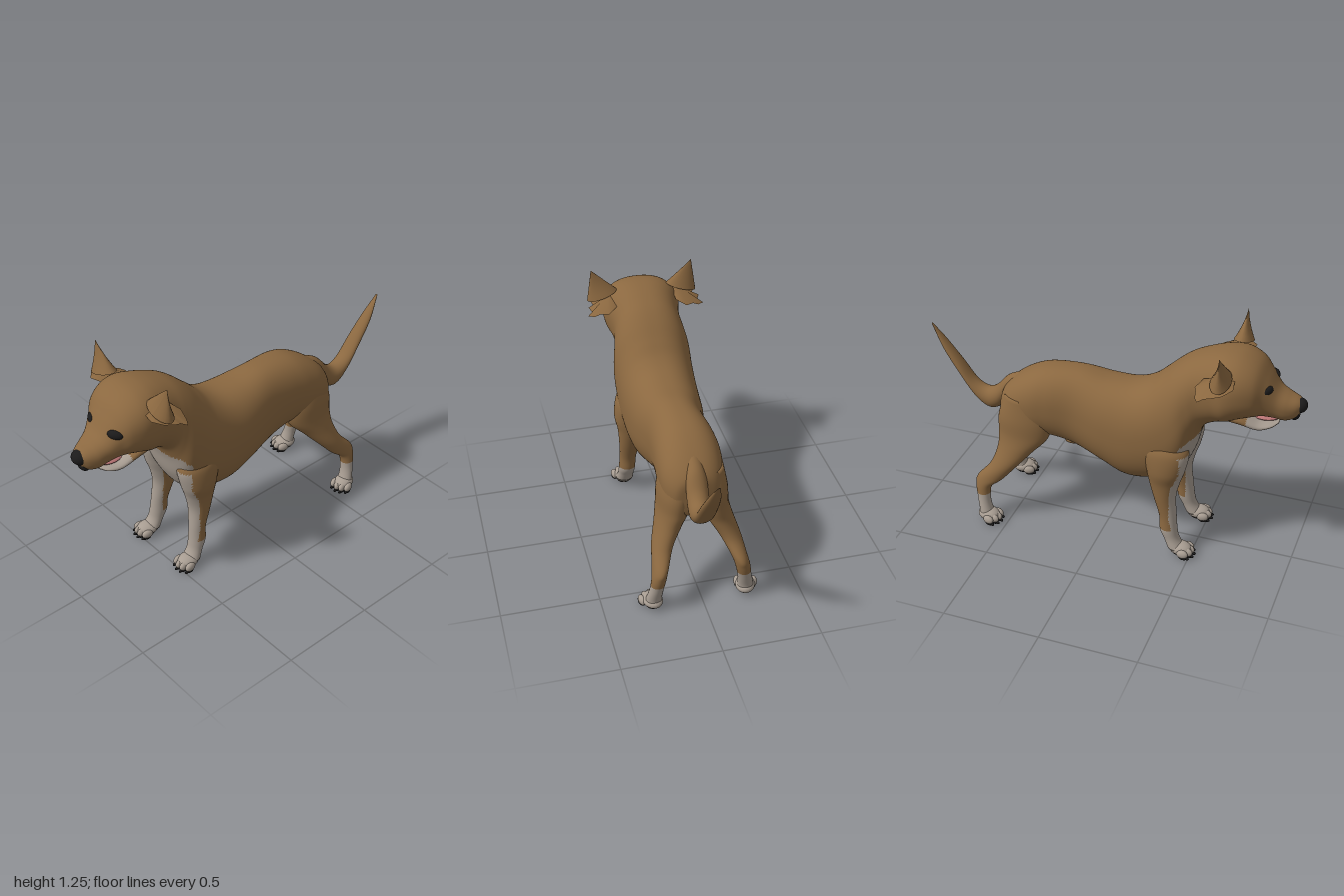
import * as THREE from 'three';

const mat = (name, color) => {
  const m = new THREE.MeshStandardMaterial({ color });
  m.name = name;
  return m;
};

export function createModel() {
  const dog = new THREE.Group();
  dog.name = 'dog';
  const coat = mat('brown coat', 0x8b6840);
  coat.side = THREE.DoubleSide;
  const white = mat('pale markings', 0xa89d92);
  const dark = mat('dark skin', 0x1c1b1b);
  const pink = mat('pink tongue', 0xb87474);

  const add = (name, geometry, material, parent = dog) => {
    const m = new THREE.Mesh(geometry, material);
    m.name = name;
    parent.add(m);
    return m;
  };

  const blob = (name, material, [x, y, z], [rx, ry, rz], parent = dog) => {
    const m = add(name, new THREE.SphereGeometry(1, 20, 14), material, parent);
    m.position.set(x, y, z);
    m.scale.set(rx, ry, rz);
    return m;
  };

  // Smooth skin through sections [topZ, topY, bottomZ, bottomY, halfWidth, centreX].
  // isWhite decides which faces take the pale material.
  const loft = (name, sections, rings, sides, power, isWhite = () => false) => {
    const a = new THREE.CatmullRomCurve3(sections.map(s => new THREE.Vector3(s[0], s[1], s[4])), false, 'catmullrom', 0.5);
    const b = new THREE.CatmullRomCurve3(sections.map(s => new THREE.Vector3(s[2], s[3], s[5])), false, 'catmullrom', 0.5);
    const bend = v => Math.sign(v) * Math.abs(v) ** power;
    const pos = [];
    for (let i = -1; i <= rings + 1; i++) {
      const t = Math.min(Math.max(i / rings, 0), 1);
      const r = i < 0 || i > rings ? 0.001 : 1;
      const p = a.getPoint(t), q = b.getPoint(t);
      for (let j = 0; j < sides; j++) {
        const ang = (j / sides) * Math.PI * 2;
        const c = bend(Math.cos(ang)) * r / 2, s = bend(Math.sin(ang)) * r;
        pos.push(q.z + s * p.z, (p.y + q.y) / 2 + c * (p.y - q.y), (p.x + q.x) / 2 + c * (p.x - q.x));
      }
    }
    const lists = [[], []];
    const face = (...f) => {
      const mean = k => (pos[f[0] * 3 + k] + pos[f[1] * 3 + k] + pos[f[2] * 3 + k]) / 3;
      lists[isWhite(mean(0), mean(1), mean(2)) ? 1 : 0].push(...f);
    };
    for (let i = 0; i < rings + 2; i++) {
      for (let j = 0; j < sides; j++) {
        const k = (j + 1) % sides, u = i * sides, v = u + sides;
        face(u + j, v + j, u + k);
        face(v + j, v + k, u + k);
      }
    }
    const g = new THREE.BufferGeometry();
    g.setAttribute('position', new THREE.Float32BufferAttribute(pos, 3));
    g.setIndex([...lists[0], ...lists[1]]);
    g.addGroup(0, lists[0].length, 0);
    g.addGroup(lists[0].length, lists[1].length, 1);
    g.computeVertexNormals();
    return add(name, g, [coat, white]);
  };

  // Torso, neck, skull and muzzle, with the pale chest patch
  loft('bodyAndHead', [
    [-0.585, 0.66, -0.585, 0.54, 0.05, 0.02], [-0.57, 0.73, -0.57, 0.50, 0.11, 0.02],
    [-0.50, 0.80, -0.51, 0.48, 0.15, 0.02], [-0.40, 0.86, -0.40, 0.48, 0.163, 0.015],
    [-0.30, 0.888, -0.30, 0.49, 0.158, 0.015], [-0.15, 0.897, -0.17, 0.46, 0.152, 0.02],
    [0, 0.88, 0, 0.40, 0.182, 0.015], [0.13, 0.885, 0.12, 0.355, 0.195, 0.01],
    [0.22, 0.92, 0.25, 0.365, 0.202, 0.01], [0.29, 0.98, 0.38, 0.42, 0.205, 0.01],
    [0.36, 1.045, 0.45, 0.53, 0.205, 0.01], [0.42, 1.09, 0.485, 0.66, 0.19, 0.01],
    [0.48, 1.12, 0.52, 0.74, 0.18, 0.01], [0.55, 1.145, 0.58, 0.78, 0.187, 0.01],
    [0.62, 1.157, 0.64, 0.80, 0.203, 0.01], [0.69, 1.15, 0.70, 0.825, 0.196, 0.015],
    [0.76, 1.115, 0.76, 0.84, 0.168, 0.02], [0.81, 1.055, 0.80, 0.84, 0.13, 0.028],
    [0.86, 0.985, 0.85, 0.832, 0.10, 0.033], [0.91, 0.955, 0.90, 0.82, 0.082, 0.037],
    [0.955, 0.937, 0.94, 0.83, 0.06, 0.04], [0.98, 0.92, 0.965, 0.855, 0.035, 0.04],
  ], 150, 96, 0.85, (x, y, z) => {
    const side = Math.abs(x - 0.01);
    const top = 0.69 - Math.max(0, side - 0.14) ** 2 * 16;
    return y < top && y > 0.415 && side < 0.195 && z > 0.43 - (0.69 - y) * 0.22;
  });

  // Tail, from tip to root
  loft('tail', [
    [-1, 0.987, -0.998, 0.98, 0.006, 0.04], [-0.935, 0.91, -0.93, 0.845, 0.03, 0.04],
    [-0.85, 0.805, -0.845, 0.72, 0.042, 0.037], [-0.77, 0.70, -0.755, 0.60, 0.048, 0.035],
    [-0.70, 0.665, -0.68, 0.548, 0.053, 0.035], [-0.64, 0.69, -0.62, 0.57, 0.055, 0.03],
    [-0.57, 0.765, -0.57, 0.63, 0.053, 0.025], [-0.48, 0.81, -0.50, 0.68, 0.05, 0.02],
  ], 50, 24, 1);

  // Lower jaw, pale at the chin, and tongue
  loft('lowerJaw', [
    [0.62, 0.87, 0.62, 0.80, 0.12, 0.015], [0.70, 0.855, 0.70, 0.785, 0.115, 0.02],
    [0.78, 0.812, 0.78, 0.762, 0.095, 0.025], [0.84, 0.803, 0.84, 0.775, 0.07, 0.03],
    [0.875, 0.802, 0.87, 0.788, 0.03, 0.033],
  ], 40, 32, 0.9, (x, y, z) => z > 0.73);
  blob('tongue', pink, [0.035, 0.818, 0.80], [0.06, 0.014, 0.075]);

  // Nose and the dark strip running down to the lip
  blob('nose', dark, [0.04, 0.898, 0.96], [0.043, 0.037, 0.04]);
  blob('upperLip', dark, [0.04, 0.85, 0.942], [0.04, 0.034, 0.026]);

  // Belly sheath
  blob('sheath', coat, [0.015, 0.457, -0.19], [0.022, 0.026, 0.065]).rotation.x = -0.3;

  // Legs from rows of [y, z, depthRadius, x, widthRadius]
  const legSections = (rows, s, cx) => rows.map(([y, z, rz, x, rx]) => [z + rz, y, z - rz, y, rx, cx + s * x]);
  const frontRows = [
    [0.66, 0.34, 0.09, 0.12, 0.06], [0.60, 0.345, 0.12, 0.135, 0.08], [0.50, 0.35, 0.10, 0.145, 0.08],
    [0.42, 0.345, 0.08, 0.142, 0.068], [0.33, 0.35, 0.058, 0.145, 0.058], [0.22, 0.372, 0.045, 0.153, 0.045],
    [0.14, 0.38, 0.046, 0.158, 0.045], [0.09, 0.398, 0.04, 0.161, 0.043], [0.04, 0.425, 0.045, 0.165, 0.048],
  ];
  const hindRows = [
    [0.72, -0.44, 0.11, 0.07, 0.08], [0.60, -0.44, 0.143, 0.088, 0.085], [0.50, -0.445, 0.137, 0.10, 0.08],
    [0.42, -0.48, 0.10, 0.13, 0.068], [0.33, -0.535, 0.073, 0.172, 0.053], [0.25, -0.605, 0.07, 0.20, 0.04],
    [0.20, -0.637, 0.043, 0.213, 0.037], [0.13, -0.635, 0.034, 0.225, 0.035], [0.07, -0.622, 0.035, 0.235, 0.039],
    [0.035, -0.61, 0.045, 0.238, 0.044],
  ];

  // Paw with four toes, claws and dark pads
  const paw = (name, x, z, turn) => {
    const g = new THREE.Group();
    g.name = name;
    g.position.set(x, 0, z);
    g.rotation.y = turn;
    dog.add(g);
    blob('pawBase', white, [0, 0.037, -0.008], [0.05, 0.033, 0.062], g);
    blob('heelPad', dark, [0, 0.012, -0.015], [0.036, 0.012, 0.035], g);
    for (let i = 0; i < 4; i++) {
      const o = i - 1.5, tz = 0.052 - Math.abs(o) * 0.014;
      blob('toe', white, [o * 0.028, 0.03, tz - 0.01], [0.018, 0.024, 0.032], g);
      blob('toePad', dark, [o * 0.028, 0.01, tz - 0.005], [0.015, 0.01, 0.025], g);
      blob('claw', dark, [o * 0.029, 0.012, tz + 0.017], [0.007, 0.009, 0.013], g);
    }
  };

  for (const s of [1, -1]) {
    const side = s > 0 ? 'left' : 'right';

    loft(side + 'FrontLeg', legSections(frontRows, s, 0.005), 60, 40, 1, (x, y, z) =>
      y < 0.15 || (y < 0.6 && z > 0.385 + Math.max(0, y - 0.35) * 0.12 && (x - 0.005) * s < 0.195));
    paw(side + 'FrontPaw', 0.005 + s * 0.168, 0.455, s * 0.12);

    loft(side + 'HindLeg', legSections(hindRows, s, 0.012), 60, 36, 1, (x, y) => y < 0.155);
    paw(side + 'HindPaw', 0.012 + s * 0.243, -0.597, s * 0.3);

    // Eye
    blob(side + 'Eye', dark, [0.035 + s * 0.09, 1.0, 0.812], [0.04, 0.024, 0.022]).rotation.set(0, s * 0.6, s * -0.1);

    // Pointed ear: a cone leaning outward and pinched toward its tip
    const ear = new THREE.CylinderGeometry(0, 1, 1, 20, 6);
    const p = ear.attributes.position;
    for (let i = 0; i < p.count; i++) {
      const v = p.getY(i) + 0.5, out = p.getX(i);
      p.setXYZ(i, 0.01 + s * (0.215 + 0.055 * v + out * 0.08),
        1.1 + 0.148 * v - out * 0.025, 0.625 + p.getZ(i) * 0.05 * (1 - v * 0.7));
    }
    if (s < 0) ear.setIndex(Array.from(ear.index.array).reverse());
    ear.computeVertexNormals();
    add(side + 'Ear', ear, coat);

    // Ragged flap folded back below the ear: a raised centre and a zigzag rim
    const rim = [
      [0.16, 1.085, 0.68], [0.23, 1.075, 0.69], [0.285, 1.065, 0.65], [0.27, 1.045, 0.62], [0.30, 1.05, 0.59],
      [0.285, 1.035, 0.565], [0.312, 1.028, 0.54], [0.28, 1.03, 0.52], [0.25, 1.045, 0.515], [0.21, 1.045, 0.50],
      [0.16, 1.07, 0.53],
    ];
    const pts = [[0.20, 1.105, 0.60], ...rim].flatMap(([x, y, z]) => [0.005 + s * x, y, z]);
    const idx = rim.flatMap((_, i) => {
      const a = i + 1, b = ((i + 1) % rim.length) + 1;
      return s > 0 ? [0, a, b] : [0, b, a];
    });
    const flap = new THREE.BufferGeometry();
    flap.setAttribute('position', new THREE.Float32BufferAttribute(pts, 3));
    flap.setIndex(idx);
    flap.computeVertexNormals();
    add(side + 'EarFlap', flap, coat);
  }
  return dog;
}
